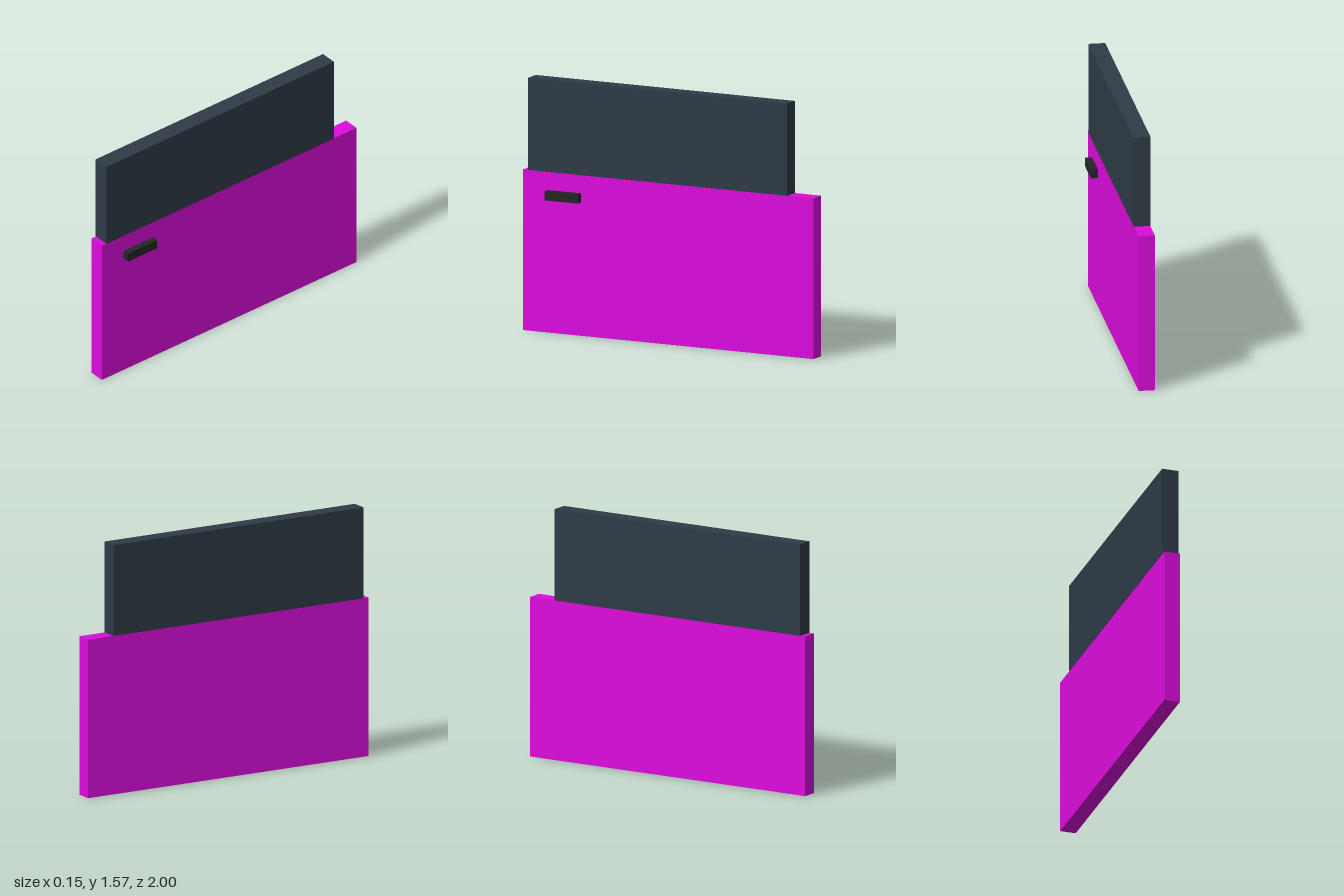
import * as THREE from 'three';

export function createModel() {
  const door = new THREE.Group();
  door.name = 'door';

  // Adds a box spanning the given [min, max] ranges
  const addBox = (name, color, x, y, z) => {
    const size = [x, y, z].map(([a, b]) => b - a);
    const centre = [x, y, z].map(([a, b]) => (a + b) / 2);
    const mesh = new THREE.Mesh(
      new THREE.BoxGeometry(...size),
      new THREE.MeshStandardMaterial({ color })
    );
    mesh.name = name;
    mesh.position.set(...centre);
    door.add(mesh);
  };

  // Lower panel
  addBox('doorPanel', 0xdd0cdd, [-0.071, 0.029], [0, 1], [-1, 1]);
  // Window pane, a touch thicker than the panel and set towards the front
  addBox('window', 0x2f3b47, [-0.0735, 0.0315], [1, 1.573], [-0.82, 0.965]);
  // Handle on the outer face
  addBox('handle', 0x252527, [0.029, 0.0725], [0.83, 0.887], [0.6, 0.828]);

  return door;
}
